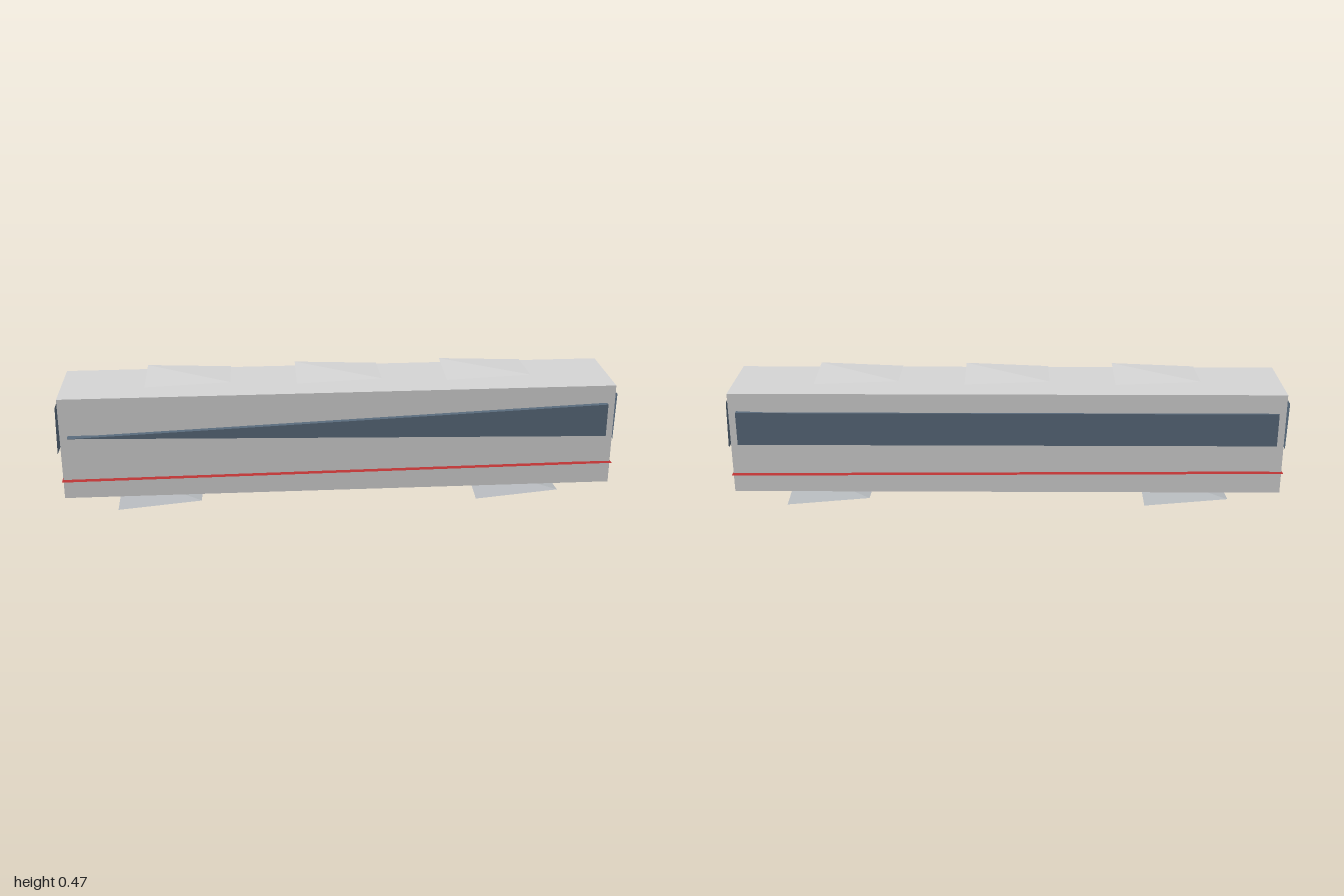
import * as THREE from 'three';

const material = (name, color) => {
  const m = new THREE.MeshStandardMaterial({ color });
  m.name = name;
  return m;
};

export function createModel() {
  const model = new THREE.Group();
  model.name = 'railCar';

  const shell = material('light grey shell', 0xd4d4d4);
  const glass = material('blue grey glass', 0x596a7b);
  const red = material('red stripe', 0xbc3434);
  const steel = material('bogie grey', 0xb5b9bd);

  const add = (name, geometry, mat, x, y, z = 0) => {
    const mesh = new THREE.Mesh(geometry, mat);
    mesh.name = name;
    mesh.position.set(x, y, z);
    model.add(mesh);
    return mesh;
  };

  // Four-faced wedge spanning alternate corners of a w x h x d box
  const wedge = (w, h, d) =>
    new THREE.TetrahedronGeometry(Math.sqrt(3)).scale(w / 2, h / 2, d / 2);

  // Car body
  add('body', new THREE.BoxGeometry(1.966, 0.375, 0.294), shell, 0, 0.2475);

  // Window band through the body: full rectangle at the back, tapering to a point at the front
  const band = new THREE.BoxGeometry(1.91, 0.121, 0.331).toNonIndexed();
  const p = band.attributes.position;
  for (let i = 0; i < p.count; i++) {
    if (p.getX(i) < 0 && p.getZ(i) > 0) p.setY(i, -0.015);
  }
  band.computeVertexNormals();
  add('sideWindows', band, glass, 0, 0.3095);

  // Stripe around the lower body
  add('stripe', wedge(1.972, 0.013, 0.334), red, 0, 0.1365);

  // End windows
  for (const side of [-1, 1]) {
    add(side > 0 ? 'leftEndWindow' : 'rightEndWindow',
      wedge(0.004, 0.174, 0.231), glass, side * 0.998, 0.304);
  }

  // Roof units
  for (const x of [-0.533, 0, 0.533]) {
    add('roofUnit', wedge(0.3, 0.012, 0.2), shell, x, 0.461);
  }

  // Bogies
  for (const x of [-0.65, 0.65]) {
    add('bogie', wedge(0.3, 0.027, 0.267), steel, x, 0.0135);
  }

  return model;
}
